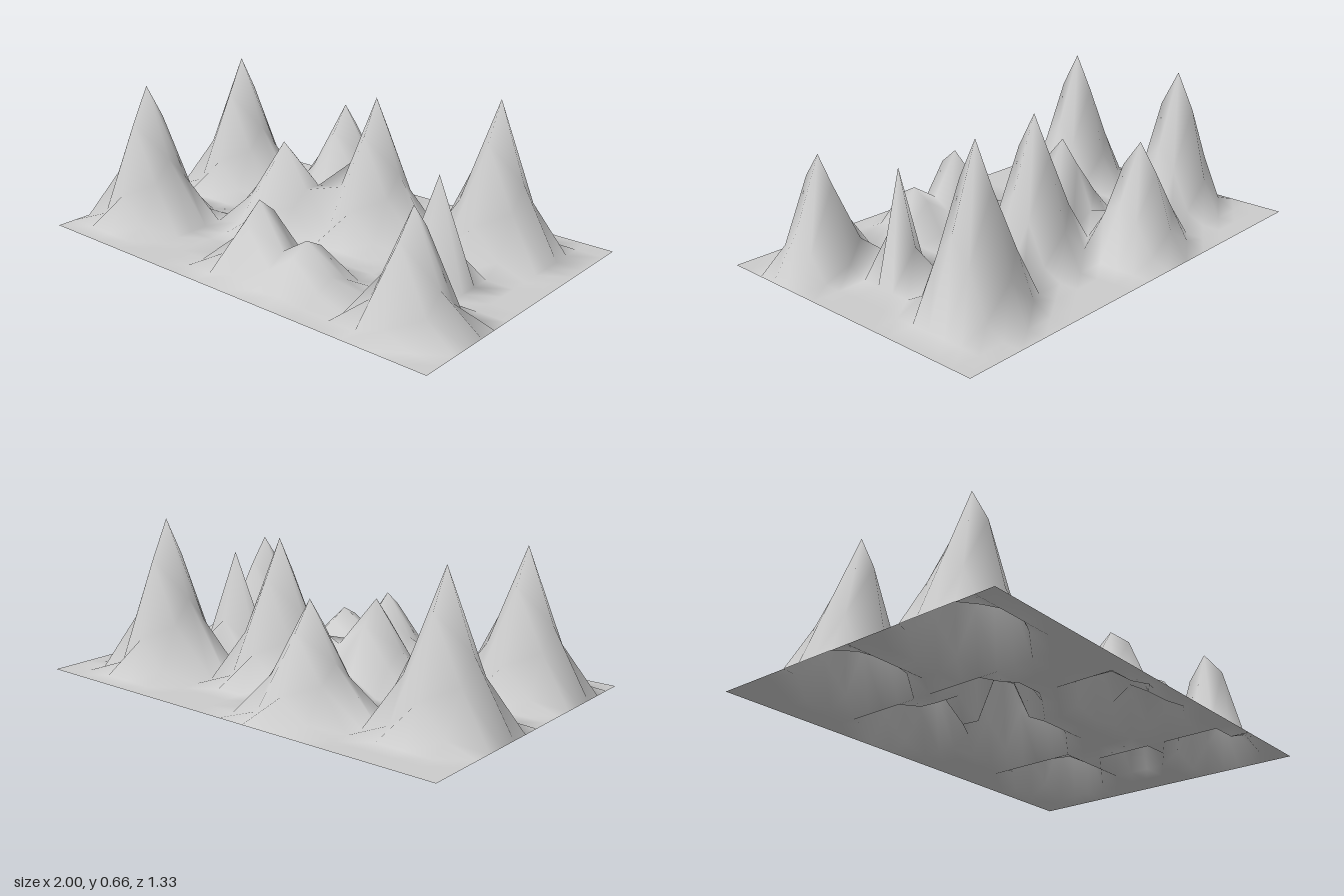
import * as THREE from 'three';

// Falloff from a peak (1) to the plain (0) over distance r
const cosine = (r) => (r < 0.25 ? 0.5 + 0.5 * Math.cos(Math.PI * r / 0.25) : 0);
const cone = (r) => Math.max(0, 1 - r / 0.125);
const bellPoints = [[0, 1], [0.0833, 0.77], [0.125, 0.38], [0.1667, 0.097], [0.21, 0]];
const bell = (r) => {
  for (let i = 1; i < bellPoints.length; i++) {
    const [r0, v0] = bellPoints[i - 1], [r1, v1] = bellPoints[i];
    if (r <= r1) return v0 + (v1 - v0) * (r - r0) / (r1 - r0);
  }
  return 0;
};

// Peaks: x, z, height, falloff
const peaks = [
  [-0.75, -0.25, 0.63, cosine],
  [-0.75, 0.3333, 0.615, cosine],
  [-0.25, -0.4167, 0.46, cosine],
  [-0.25, 0, 0.385, cosine],
  [0.125, -0.1667, 0.615, cosine],
  [0.625, -0.3333, 0.665, cosine],
  [0.625, 0.0833, 0.46, cone],
  [0.75, 0.4167, 0.47, bell],
  // low double ridge at the front
  [0, 0.4167, 0.3, bell],
  [0.25, 0.4167, 0.193, bell],
  // saddle between the two middle peaks
  [-0.125, -0.0833, 0.19, (r) => (r < 0.04 ? 1 : 0)],
];

const heightAt = (x, z) => peaks.reduce(
  (h, [px, pz, height, falloff]) => Math.max(h, height * falloff(Math.hypot(x - px, z - pz))), 0);

export function createModel() {
  const group = new THREE.Group();
  group.name = 'mountainTerrain';

  // Flat grid whose vertices are raised into peaks
  const geometry = new THREE.PlaneGeometry(2, 4 / 3, 16, 16).rotateX(-Math.PI / 2);
  const pos = geometry.attributes.position;
  for (let i = 0; i < pos.count; i++) {
    pos.setY(i, heightAt(pos.getX(i), pos.getZ(i)));
  }
  geometry.computeVertexNormals();

  const terrain = new THREE.Mesh(geometry,
    new THREE.MeshStandardMaterial({ color: 0xcccccc, side: THREE.DoubleSide }));
  terrain.name = 'terrain';
  group.add(terrain);
  return group;
}
